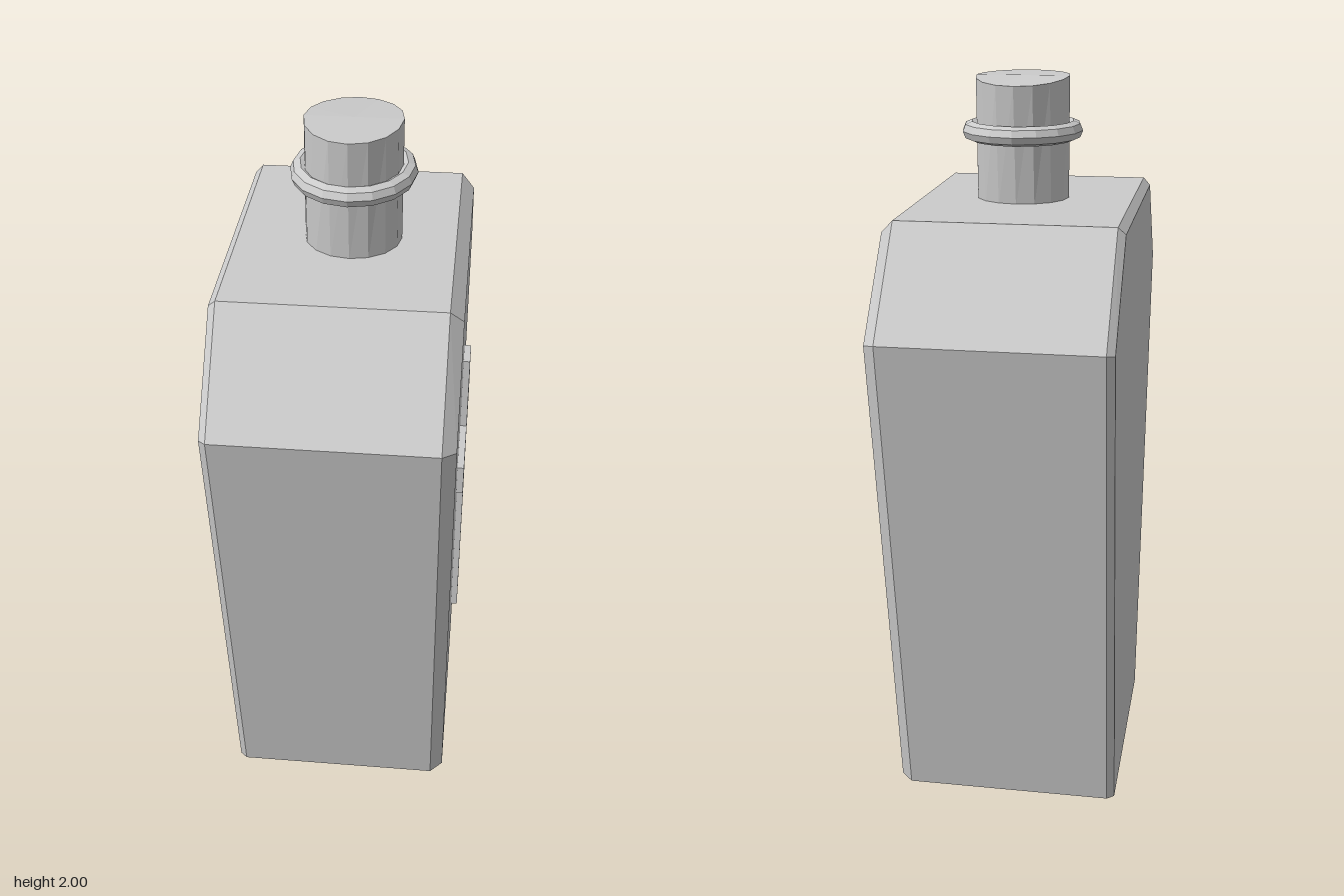
import * as THREE from 'three';

const material = new THREE.MeshStandardMaterial({ color: 0xcccccc, flatShading: true });

function addMesh(group, name, geometry) {
  const mesh = new THREE.Mesh(geometry, material);
  mesh.name = name;
  group.add(mesh);
  return mesh;
}

// Coffin outline as [half width, height], running up one side
const outline = [[0.362, 0], [0.622, 1.4], [0.395, 1.67]];
const narrowOutline = [[0.345, 0], [0.602, 1.395], [0.385, 1.65]];
const smallOutline = [[0.325, 0], [0.585, 1.39], [0.375, 1.635]];

// Bevelled body lofted through outlines placed along x
function bodyGeometry() {
  const sections = [[-0.325, narrowOutline], [-0.305, outline], [0.272, outline], [0.307, smallOutline]];
  const rings = sections.map(([x, pts]) => [
    ...pts.map(([w, y]) => [x, y, -w]),
    ...pts.slice().reverse().map(([w, y]) => [x, y, w]),
  ]);
  const n = rings[0].length;
  const positions = [];
  const tri = (a, b, c) => positions.push(...a, ...b, ...c);
  for (let k = 0; k < rings.length - 1; k++) {
    for (let i = 0; i < n; i++) {
      const j = (i + 1) % n;
      tri(rings[k][i], rings[k][j], rings[k + 1][j]);
      tri(rings[k][i], rings[k + 1][j], rings[k + 1][i]);
    }
  }
  // End caps
  const first = rings[0];
  const last = rings[rings.length - 1];
  for (let i = 1; i < n - 1; i++) {
    tri(last[0], last[i], last[i + 1]);
    tri(first[0], first[i + 1], first[i]);
  }
  const geometry = new THREE.BufferGeometry();
  geometry.setAttribute('position', new THREE.Float32BufferAttribute(positions, 3));
  geometry.computeVertexNormals();
  return geometry;
}

// Oval neck that flares only front to back, with a slightly dipped rim
function neckGeometry() {
  const geometry = new THREE.CylinderGeometry(1, 1, 1, 16);
  const p = geometry.attributes.position;
  for (let i = 0; i < p.count; i++) {
    const top = p.getY(i) > 0;
    const z = top ? 0.0125 + 0.1675 * p.getZ(i) : 0.0175 + 0.1275 * p.getZ(i);
    const dip = 0.015 * Math.max(0, -z / 0.155);
    p.setXYZ(i, 0.128 * p.getX(i), top ? 2 - dip : 1.66, z);
  }
  geometry.computeVertexNormals();
  return geometry;
}

// Raised cross, drawn facing +z and turned to face +x
function crossGeometry() {
  const [left, right, bottom, top] = [-0.26, 0.235, 0.43, 1.32];
  const [stemL, stemR, armB, armT] = [-0.058, 0.028, 1.02, 1.105];
  const shape = new THREE.Shape([
    [stemL, bottom], [stemR, bottom], [stemR, armB], [right, armB], [right, armT], [stemR, armT],
    [stemR, top], [stemL, top], [stemL, armT], [left, armT], [left, armB], [stemL, armB],
  ].map(([x, y]) => new THREE.Vector2(x, y)));
  const geometry = new THREE.ExtrudeGeometry(shape, { depth: 0.025, bevelEnabled: false });
  geometry.rotateY(Math.PI / 2);
  geometry.translate(0.3, 0, 0);
  return geometry;
}

export function createModel() {
  const group = new THREE.Group();
  group.name = 'coffinBottle';

  addMesh(group, 'body', bodyGeometry());
  addMesh(group, 'neck', neckGeometry());
  addMesh(group, 'cross', crossGeometry());

  // Oval collar around the neck
  const collar = new THREE.TorusGeometry(0.14, 0.026, 8, 16);
  collar.rotateX(Math.PI / 2);
  collar.scale(1, 1, 1.145);
  collar.translate(0, 1.855, 0.008);
  addMesh(group, 'collar', collar);

  return group;
}
